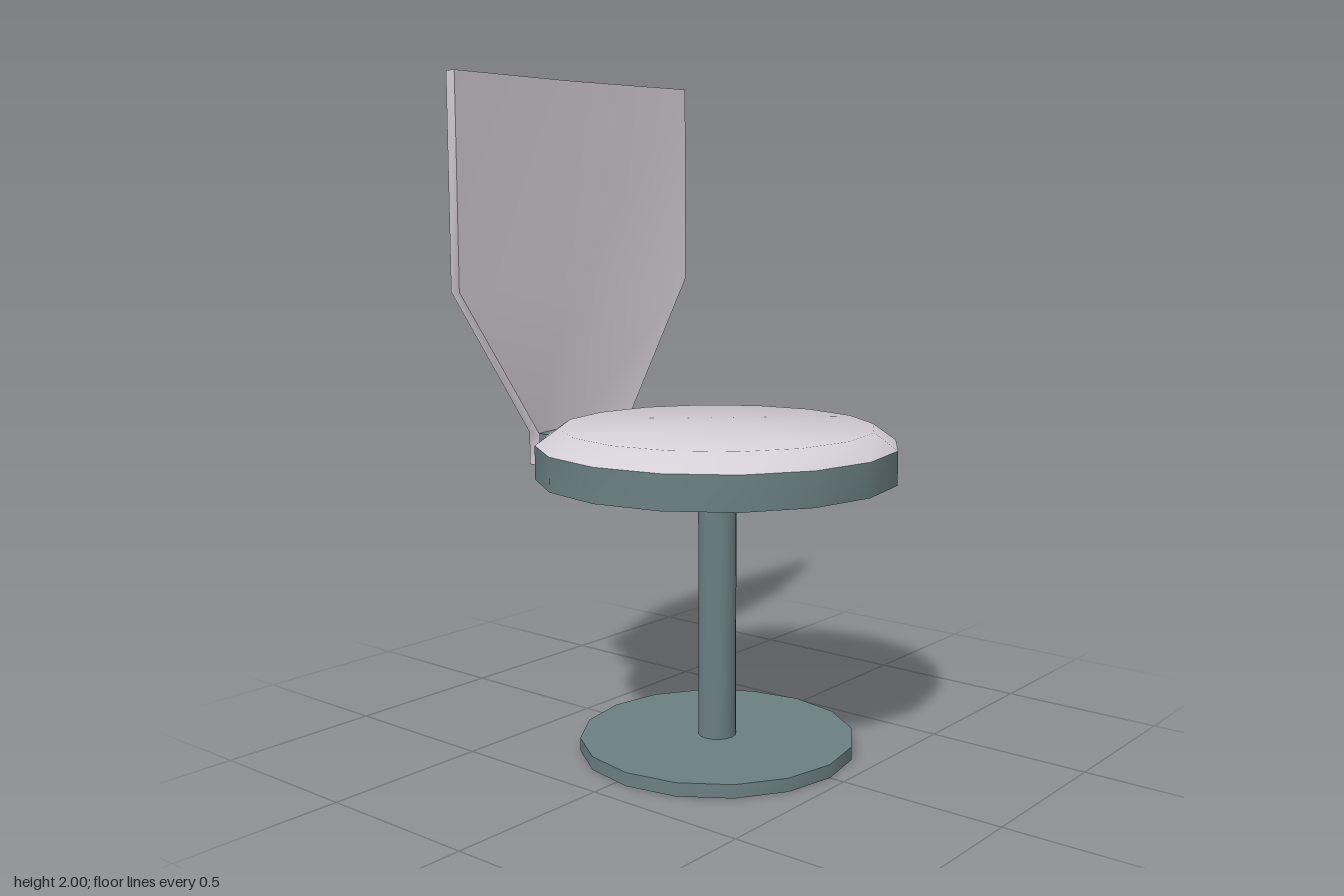
import * as THREE from 'three';
import { toCreasedNormals } from 'three/addons/utils/BufferGeometryUtils.js';

const teal = new THREE.MeshStandardMaterial({ color: 0x6b8082 });
const pale = new THREE.MeshStandardMaterial({ color: 0xd4ced6 });
const SEAT_Z = 0.04;

function addPart(group, name, geometry, material, crease = 0.7) {
  const mesh = new THREE.Mesh(toCreasedNormals(geometry, crease), material);
  mesh.name = name;
  group.add(mesh);
}

// Upright cylinder between two heights, centred under the seat
function disc(rTop, rBottom, y0, y1, sides) {
  return new THREE.CylinderGeometry(rTop, rBottom, y1 - y0, sides).translate(0, (y0 + y1) / 2, SEAT_Z);
}

// Panel with a shallow V plan, lofted upwards.
// Rows: [y, half width, front edge z, front middle z, back edge z, back middle z]
function vPanel(rows) {
  const position = [];
  const index = [];
  for (const [y, w, fe, fm, be, bm] of rows) {
    position.push(-w, y, fe, 0, y, fm, w, y, fe, w, y, be, 0, y, bm, -w, y, be);
  }
  for (let r = 0; r < rows.length - 1; r++) {
    for (let i = 0; i < 6; i++) {
      const a = r * 6 + i, b = r * 6 + (i + 1) % 6;
      index.push(a, b, b + 6, a, b + 6, a + 6);
    }
  }
  // End caps, two quads each
  const t = (rows.length - 1) * 6;
  for (const [a, b, c, d] of [[0, 1, 4, 5], [1, 2, 3, 4]]) {
    index.push(t + a, t + b, t + c, t + a, t + c, t + d);
    index.push(a, c, b, a, d, c);
  }
  const geometry = new THREE.BufferGeometry();
  geometry.setAttribute('position', new THREE.Float32BufferAttribute(position, 3));
  geometry.setIndex(index);
  return geometry;
}

export function createModel() {
  const chair = new THREE.Group();
  chair.name = 'pedestalChair';

  // Pedestal
  addPart(chair, 'base', disc(0.413, 0.413, 0, 0.04, 16), teal);
  addPart(chair, 'pole', disc(0.057, 0.057, 0.04, 0.83, 16), teal);

  // Seat with bevelled, softly shaded cushion
  addPart(chair, 'seatRim', disc(0.535, 0.535, 0.83, 0.93, 16), teal);
  addPart(chair, 'cushion', disc(0.465, 0.535, 0.93, 0.98, 16), pale, 1.1);

  // Bracket joining the rim to the backrest
  addPart(chair, 'backBracket', vPanel([
    [0.83, 0.204, -0.454, -0.495, -0.496, -0.537],
    [0.93, 0.204, -0.454, -0.495, -0.496, -0.537],
  ]), teal);

  // Backrest: narrow foot, flaring shoulders, straight top
  addPart(chair, 'backrest', vPanel([
    [0.83, 0.204, -0.496, -0.537, -0.537, -0.578],
    [0.93, 0.204, -0.496, -0.537, -0.537, -0.578],
    [1.375, 0.507, -0.503, -0.537, -0.538, -0.572],
    [2, 0.507, -0.503, -0.537, -0.538, -0.572],
  ]), pale);

  return chair;
}
